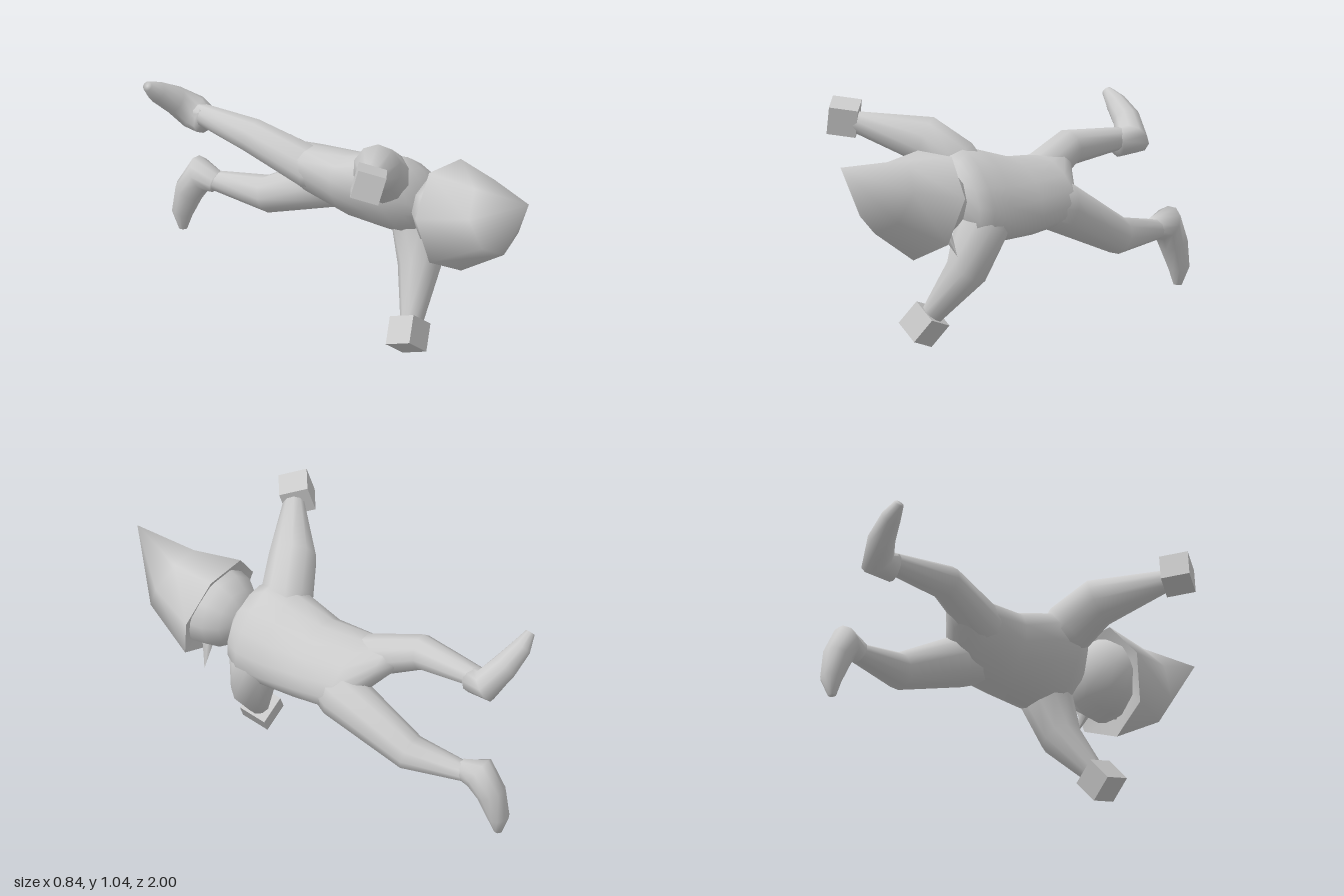
import * as THREE from 'three';
import { mergeVertices } from 'three/addons/utils/BufferGeometryUtils.js';

const V = (x, y, z) => new THREE.Vector3(x, y, z);
const solid = new THREE.MeshStandardMaterial({ color: 0xcccccc });
const open = new THREE.MeshStandardMaterial({ color: 0xcccccc, side: THREE.DoubleSide });

function named(name, geometry, material = solid) {
  const mesh = new THREE.Mesh(geometry, material);
  mesh.name = name;
  return mesh;
}

// Smooth skin over rings {c, u, v}; each ring runs c + u cos + v sin.
function loft(rings, sides, start = 0) {
  const positions = [], index = [];
  for (const { c, u, v } of rings) {
    for (let j = 0; j < sides; j++) {
      const a = start + (j / sides) * Math.PI * 2;
      const p = c.clone().addScaledVector(u, Math.cos(a)).addScaledVector(v, Math.sin(a));
      positions.push(p.x, p.y, p.z);
    }
  }
  for (let i = 0; i < rings.length - 1; i++) {
    for (let j = 0; j < sides; j++) {
      const a = i * sides + j, b = i * sides + (j + 1) % sides;
      index.push(a, b, b + sides, a, b + sides, a + sides);
    }
  }
  const g = new THREE.BufferGeometry();
  g.setAttribute('position', new THREE.Float32BufferAttribute(positions, 3));
  g.setIndex(index);
  const merged = mergeVertices(g, 1e-5);
  merged.computeVertexNormals();
  return merged;
}

// Closed limb through points [x, y, z, radius].
function limb(path, ref, sides = 10) {
  const pts = path.map(([x, y, z]) => V(x, y, z));
  const rings = pts.map((c, i) => {
    const before = pts[Math.max(i - 1, 0)], after = pts[Math.min(i + 1, pts.length - 1)];
    const t = after.clone().sub(before).normalize();
    const u = ref.clone().addScaledVector(t, -ref.dot(t)).normalize();
    const v = t.clone().cross(u);
    return { c, u: u.multiplyScalar(path[i][3]), v: v.multiplyScalar(path[i][3]) };
  });
  const tip = (c) => ({ c, u: V(0, 0, 0), v: V(0, 0, 0) });
  return loft([tip(pts[0]), ...rings, tip(pts[pts.length - 1])], sides);
}

// Block hand turned so its local x and y follow the given directions.
function hand(name, position, xDir, yDir, size) {
  const y = yDir.clone().normalize();
  const x = xDir.clone().addScaledVector(y, -xDir.dot(y)).normalize();
  const mesh = named(name, new THREE.BoxGeometry(size, size, size));
  mesh.quaternion.setFromRotationMatrix(new THREE.Matrix4().makeBasis(x, y, x.clone().cross(y)));
  mesh.position.copy(position);
  return mesh;
}

export function createModel() {
  const model = new THREE.Group();
  model.name = 'leapingFigure';

  // Torso: banked ellipses [z, x, y, half length, half depth, bank angle], from the raised thigh to the neck
  const torso = [
    [-0.42, -0.01, 0.755, 0, 0, 0.4],
    [-0.31, 0.04, 0.705, 0.105, 0.065, 0.4],
    [-0.2, 0.132, 0.637, 0.19, 0.107, 0.55],
    [0, 0.157, 0.627, 0.19, 0.134, 0.72],
    [0.17, 0.165, 0.645, 0.215, 0.138, 0.88],
    [0.29, 0.175, 0.66, 0.23, 0.14, 0.9],
    [0.355, 0.19, 0.66, 0.18, 0.115, 0.9],
    [0.385, 0.19, 0.66, 0.08, 0.08, 0.9],
  ].map(([z, x, y, a, b, bank]) => {
    const cos = Math.cos(bank), sin = Math.sin(bank);
    return { c: V(x, y, z), u: V(a * cos, -a * sin, 0), v: V(b * sin, b * cos, 0) };
  });
  model.add(named('torso', loft(torso, 14)));

  // Arms
  model.add(named('rightArm', limb([
    [0.14, 0.68, 0.18, 0.07], [0.06, 0.775, 0.262, 0.115],
    [-0.055, 0.873, 0.335, 0.104], [-0.285, 0.945, 0.54, 0.044],
  ], V(0, 1, 0))));
  model.add(named('leftArm', limb([
    [0.2, 0.66, 0.22, 0.07], [0.245, 0.53, 0.272, 0.115],
    [0.205, 0.34, 0.325, 0.092], [0.075, 0.145, 0.41, 0.048],
  ], V(0, 0, 1))));
  model.add(hand('rightHand', V(-0.323, 0.961, 0.557), V(-0.09, 0.02, 0.09), V(0.035, 0.12, 0.015), 0.124));
  model.add(hand('leftHand', V(0.043, 0.105, 0.422), V(0.095, -0.07, 0), V(0.07, 0.1, -0.045), 0.124));

  // Legs
  const side = V(1, 0, 0);
  model.add(named('rightLeg', limb([
    [0.12, 0.64, 0.02, 0.05], [0.055, 0.678, -0.18, 0.094],
    [-0.035, 0.77, -0.43, 0.077], [-0.05, 0.78, -0.75, 0.045],
  ], side)));
  model.add(named('leftLeg', limb([
    [0.18, 0.6, 0.03, 0.07], [0.21, 0.565, -0.19, 0.112],
    [0.16, 0.405, -0.54, 0.08], [0.1, 0.4, -0.81, 0.042],
  ], side)));

  // Boots with pointed toes
  model.add(named('rightBoot', limb([
    [-0.05, 0.76, -0.705, 0.062], [-0.04, 0.77, -0.785, 0.074], [-0.12, 0.84, -0.82, 0.06],
    [-0.21, 0.9, -0.835, 0.045], [-0.268, 0.945, -0.832, 0.022],
  ], V(0.6, 0.7, 0))));
  model.add(named('leftBoot', limb([
    [0.095, 0.4, -0.785, 0.048], [0.085, 0.42, -0.865, 0.076], [0.068, 0.33, -0.92, 0.064],
    [0.062, 0.22, -0.955, 0.047], [0.06, 0.145, -0.95, 0.018],
  ], side)));

  // Head, long axis pointing forward into the hat
  const head = named('head', new THREE.SphereGeometry(0.18, 10, 8));
  head.rotation.x = Math.PI / 2;
  head.position.set(0.195, 0.658, 0.545);
  model.add(head);

  // Nose
  const nose = named('nose', new THREE.ConeGeometry(0.026, 0.12, 5));
  nose.position.set(0.31, 0.487, 0.493);
  nose.quaternion.setFromUnitVectors(V(0, 1, 0), V(0.42, -0.88, -0.2).normalize());
  model.add(nose);

  // Hat: seven-sided cone drawn to a point, its underside turned in around the head
  const ring = (x, y, z, r, slope) => ({ c: V(x, y, z), u: V(r, 0, -0.09 * r), v: V(0, r, -slope * r) });
  const rim = ring(0.19, 0.645, 0.54, 0.235, 0.24);
  const hat = new THREE.Group();
  hat.name = 'hat';
  hat.add(named('underside', loft([ring(0.192, 0.655, 0.555, 0.165, 0.24), rim], 7, 0.2), open));
  hat.add(named('crown', loft([
    rim, ring(0.213, 0.7, 0.765, 0.15, 0.43), ring(0.19, 0.845, 1, 0, 0),
  ], 7, 0.2), open));
  model.add(hat);

  return model;
}
